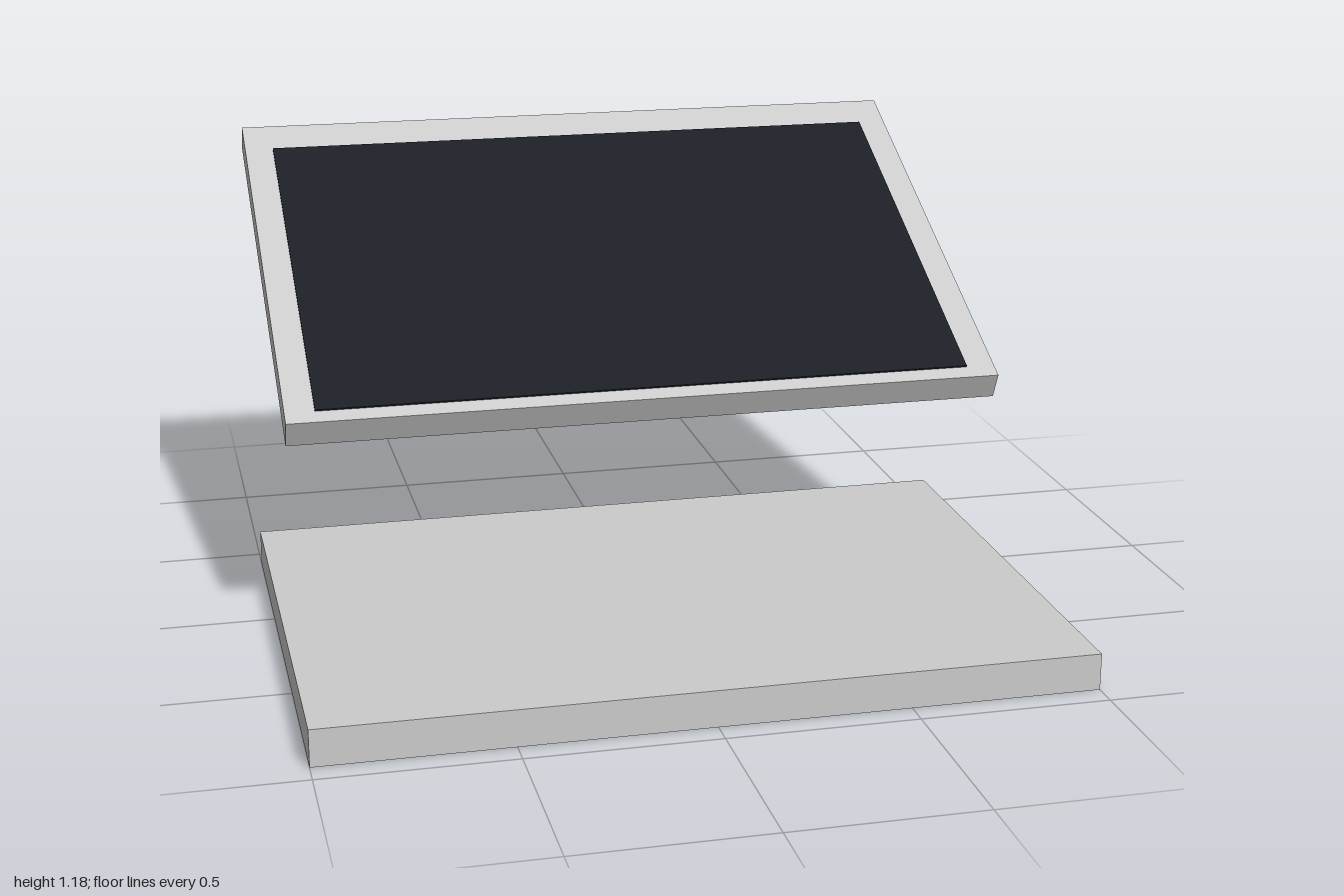
import * as THREE from 'three';

function addBox(parent, name, size, position, color = 0xcccccc) {
  const mesh = new THREE.Mesh(
    new THREE.BoxGeometry(...size),
    new THREE.MeshStandardMaterial({ color })
  );
  mesh.name = name;
  mesh.position.set(...position);
  parent.add(mesh);
  return mesh;
}

export function createModel() {
  const model = new THREE.Group();
  model.name = 'openLaptop';

  // flat base slab
  addBox(model, 'base', [2, 0.098, 1.357], [0, 0.049, 0.256]);

  // tilted lid, floating above the base, front edge low
  const lid = new THREE.Group();
  lid.name = 'lid';
  lid.position.set(0, 0.868, -0.349);
  lid.rotation.x = THREE.MathUtils.degToRad(25.9);
  model.add(lid);
  addBox(lid, 'lidPanel', [1.932, 0.078, 1.258], [0, 0, 0]);

  // thin dark screen, slightly proud of the panel and nearer its front edge
  addBox(lid, 'screen', [1.774, 0.01, 1.106], [0, 0.039, 0.035], 0x1c1f26);

  return model;
}
